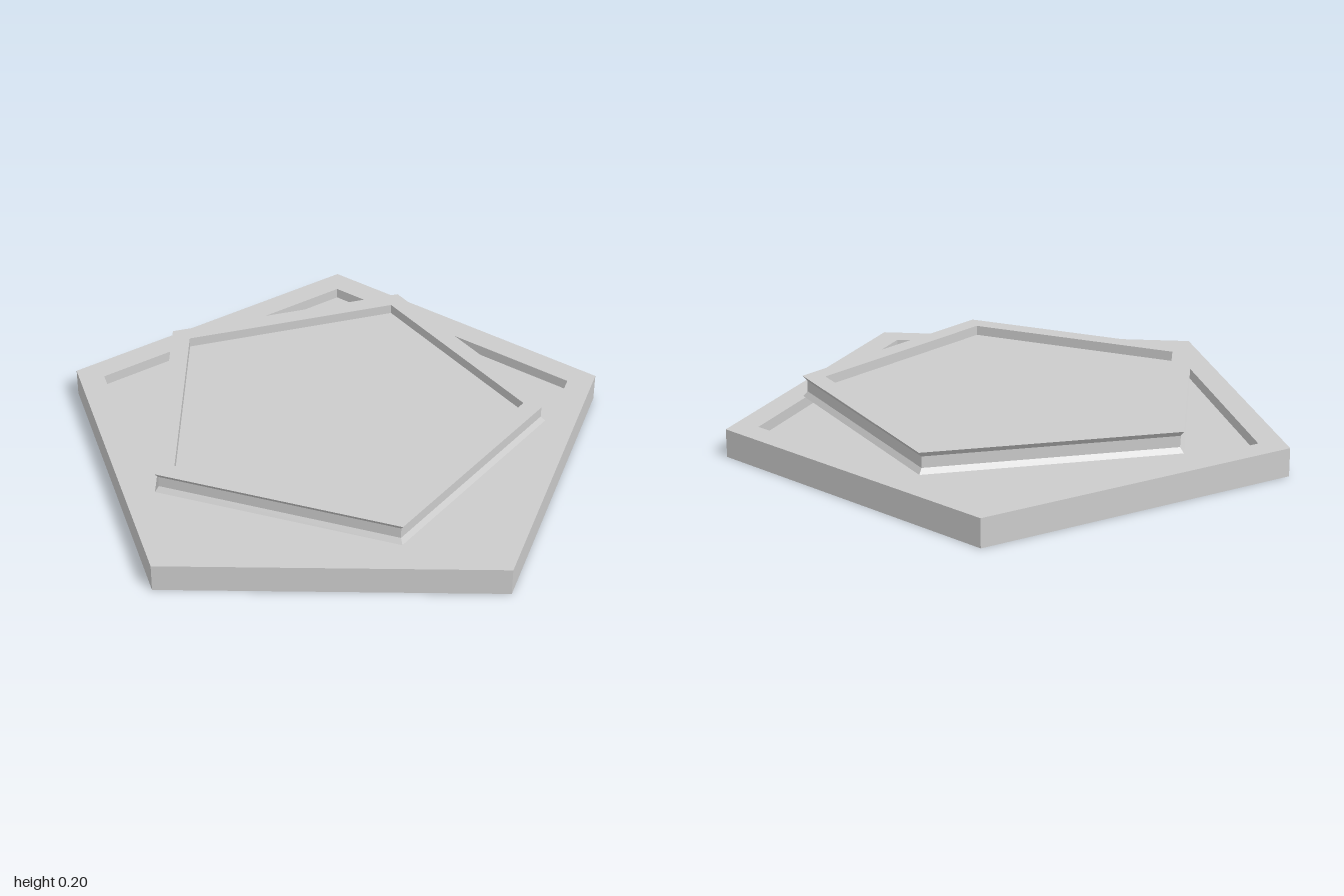
import * as THREE from 'three';

// Five-sided solid swept from a [radius, height] profile, bottom to top.
function pentagon(name, profile, startAngle) {
  const points = profile.map(([r, y]) => new THREE.Vector2(r, y));
  const geometry = new THREE.LatheGeometry(points, 5, startAngle);
  const material = new THREE.MeshStandardMaterial({ color: 0xcccccc, flatShading: true });
  const mesh = new THREE.Mesh(geometry, material);
  mesh.name = name;
  return mesh;
}

export function createModel() {
  const model = new THREE.Group();
  model.name = 'pentagonPlate';

  // Base tray with a raised rim, one corner pointing to -x
  const base = pentagon('baseTray', [
    [0, 0], [1.05, 0], [1.05, 0.105], [0.934, 0.105], [0.934, 0.065], [0, 0.065],
  ], -Math.PI / 2);

  // Floating upper tray with a waisted edge, one corner pointing to -z
  const upper = pentagon('upperTray', [
    [0, 0.124], [0.782, 0.124], [0.765, 0.143], [0.765, 0.184], [0.782, 0.203],
    [0.697, 0.203], [0.697, 0.166], [0, 0.166],
  ], Math.PI);

  // Both share one axis, shifted so the base outline is centred
  for (const part of [base, upper]) {
    part.position.x = 0.1;
    model.add(part);
  }
  return model;
}
